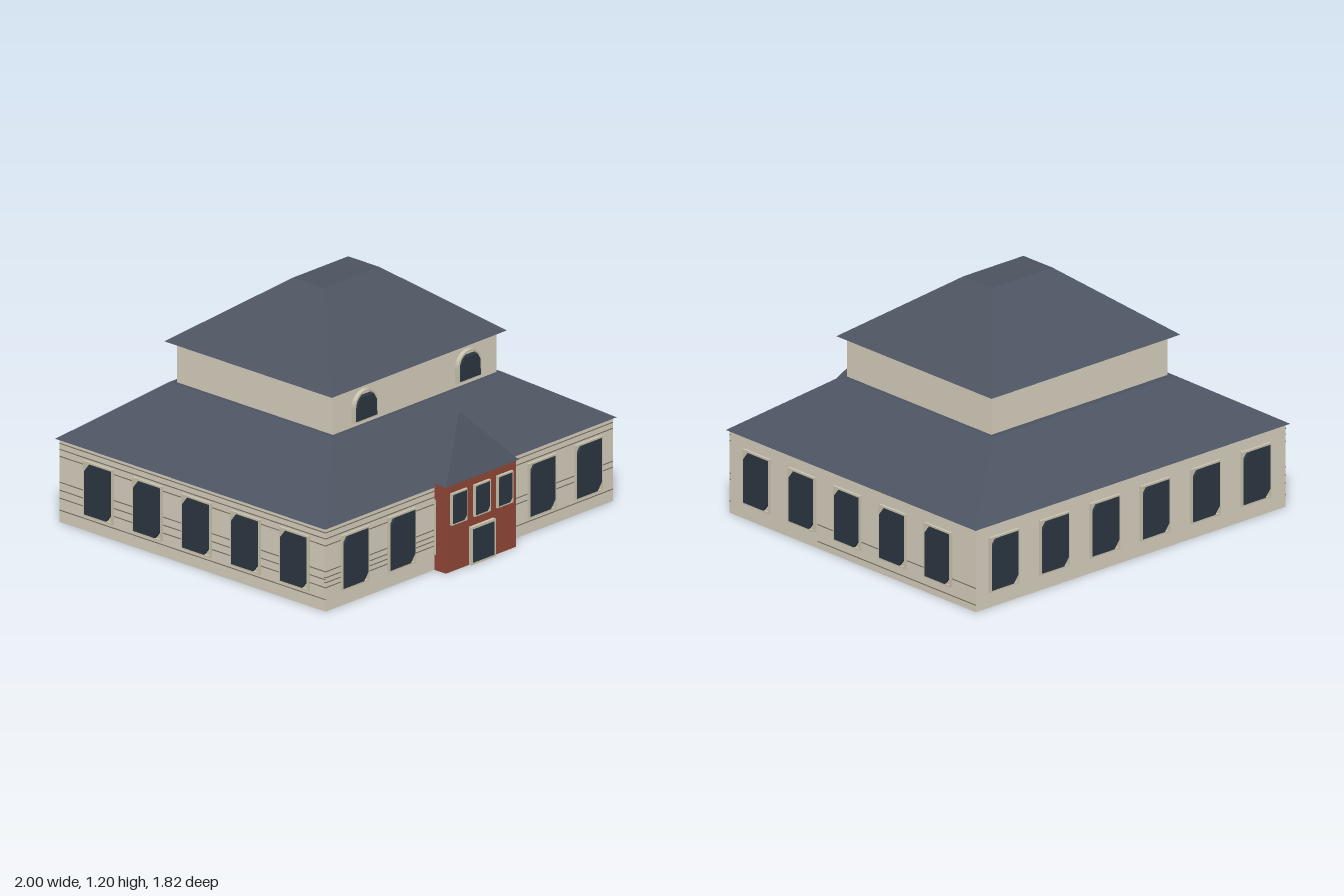
import * as THREE from 'three';

const paint = (color) => new THREE.MeshStandardMaterial({ color, flatShading: true });
const MAT = {
  wall: paint(0xd9d2c0), roof: paint(0x4c5461), brick: paint(0x934837),
  glass: paint(0x2c3842), frame: paint(0xcdc5b0), groove: paint(0x7d7566),
};

function add(parent, name, geometry, material, x = 0, y = 0, z = 0) {
  const mesh = new THREE.Mesh(geometry, material);
  mesh.name = name;
  mesh.position.set(x, y, z);
  parent.add(mesh);
  return mesh;
}

// Box given by its limits on each axis
function block(parent, name, material, [x0, x1], [y0, y1], [z0, z1]) {
  return add(parent, name, new THREE.BoxGeometry(x1 - x0, y1 - y0, z1 - z0), material,
    (x0 + x1) / 2, (y0 + y1) / 2, (z0 + z1) / 2);
}

// Hipped roof: a box whose top corners are pulled in to the given rectangle
function hipRoof(parent, name, [y0, y1], base, top) {
  const geo = new THREE.BoxGeometry(1, 1, 1);
  const p = geo.attributes.position;
  for (let i = 0; i < p.count; i++) {
    const up = p.getY(i) > 0;
    const r = up ? top : base;
    p.setXYZ(i, p.getX(i) > 0 ? r.x : -r.x, up ? y1 : y0, p.getZ(i) > 0 ? r.z1 : r.z0);
  }
  geo.computeVertexNormals();
  return add(parent, name, geo, MAT.roof);
}

const polygon = (points) => new THREE.Shape(points.map(([x, y]) => new THREE.Vector2(x, y)));
const plate = (shape, depth) =>
  new THREE.ExtrudeGeometry(shape, { depth, bevelEnabled: false, curveSegments: 10 });

const rect = (w, h) => [[-w / 2, 0], [w / 2, 0], [w / 2, h], [-w / 2, h]];

// Flat frame with a hole, and a pane with two clipped corners, facing +z
function makeWindow(name, w, h, border, clip, depth) {
  const group = new THREE.Group();
  group.name = name;
  const frame = polygon(rect(w, h));
  const iw = w - border * 2;
  const ih = h - border * 2;
  frame.holes.push(polygon(rect(iw, ih).map(([x, y]) => [x, y + border])));
  add(group, 'windowFrame', plate(frame, depth * 0.8), MAT.frame);
  add(group, 'windowBacking', new THREE.PlaneGeometry(iw, ih), MAT.frame, 0, h / 2, 0.003);
  const a = iw / 2;
  const pane = polygon([[-a, 0], [a - clip, 0], [a, clip * 1.3], [a, ih],
    [-a + clip, ih], [-a, ih - clip * 1.3]]);
  add(group, 'windowPane', plate(pane, depth), MAT.glass, 0, border, 0);
  return group;
}

// Round-headed upper window with a straight-sided pane
function makeArchWindow() {
  const group = new THREE.Group();
  group.name = 'archedWindow';
  const arch = (r, y0, spring) => {
    const s = new THREE.Shape();
    s.moveTo(-r, y0);
    s.lineTo(r, y0);
    s.lineTo(r, spring);
    s.absarc(0, spring, r, 0, Math.PI, false);
    s.closePath();
    return s;
  };
  const outer = arch(0.08, 0, 0.072);
  outer.holes.push(arch(0.07, 0.008, 0.072));
  add(group, 'archFrame', plate(outer, 0.022), MAT.frame);
  const pane = polygon([[-0.07, 0.008], [0.07, 0.008], [0.066, 0.09], [0.045, 0.122],
    [-0.045, 0.122], [-0.062, 0.09]]);
  add(group, 'archPane', plate(pane, 0.027), MAT.glass);
  return group;
}

export function createModel() {
  const model = new THREE.Group();
  model.name = 'building';
  const W = 0.985, ZF = 0.81, ZB = -0.895;

  // Main storeys and hipped roofs
  block(model, 'groundFloor', MAT.wall, [-W, W], [0, 0.42], [ZB, ZF]);
  hipRoof(model, 'lowerRoof', [0.418, 0.675],
    { x: 1, z0: -0.91, z1: 0.82 }, { x: 0.58, z0: -0.57, z1: 0.48 });
  block(model, 'upperFloor', MAT.wall, [-0.56, 0.56], [0.67, 0.885], [-0.54, 0.46]);
  hipRoof(model, 'upperRoof', [0.88, 1.2],
    { x: 0.6, z0: -0.585, z1: 0.49 }, { x: 0.19, z0: -0.145, z1: 0.055 });

  // Fine horizontal wall joints
  const t = 0.0025;
  const lines = (name, heights, xs, zs) => heights.forEach((y) =>
    block(model, name, MAT.groove, xs, [y - t, y + t], zs));
  lines('frontJoint', [0.365, 0.395], [-W, W], [ZF - 0.01, ZF + 0.001]);
  lines('frontLeftJoint', [0.06, 0.17, 0.2], [0.24, W], [ZF - 0.01, ZF + 0.001]);
  lines('frontRightJoint', [0.12, 0.145, 0.17, 0.2, 0.33], [-W, -0.24], [ZF - 0.01, ZF + 0.001]);
  lines('leftJoint', [0.035, 0.12], [W - 0.01, W + 0.001], [ZB, 0.2]);
  lines('rightJoint', [0.06, 0.12, 0.16, 0.2, 0.33, 0.365, 0.395],
    [-W - 0.001, -W + 0.01], [ZB, ZF]);

  // Ground-floor windows: six front and back, five on each side
  const place = (x, z, turn) => {
    const win = makeWindow('tallWindow', 0.186, 0.276, 0.009, 0.03, 0.015);
    win.position.set(x, 0.078, z);
    win.rotation.y = turn;
    model.add(win);
  };
  for (let i = 0; i < 6; i++) {
    const x = -0.79 + i * 0.32;
    place(x, ZF, 0);
    place(x, ZB, Math.PI);
  }
  for (let i = 0; i < 5; i++) {
    const z = 0.616 - i * 0.314;
    place(W, z, Math.PI / 2);
    place(-W, z, -Math.PI / 2);
  }

  // Arched windows above the front roof
  for (const x of [-0.355, 0.355]) {
    const win = makeArchWindow();
    win.position.set(x, 0.7, 0.46);
    model.add(win);
  }

  // Brick entrance porch with pointed roof
  const porch = new THREE.Group();
  porch.name = 'porch';
  model.add(porch);
  block(porch, 'porchWalls', MAT.brick, [-0.24, 0.24], [0, 0.44], [0.61, 0.885]);
  hipRoof(porch, 'porchRoof', [0.437, 0.71],
    { x: 0.25, z0: 0.595, z1: 0.895 }, { x: 0, z0: 0.745, z1: 0.745 });
  for (const x of [-0.158, 0, 0.155]) {
    const win = makeWindow('porchWindow', 0.108, 0.16, 0.008, 0.016, 0.015);
    win.position.set(x, 0.235, 0.885);
    porch.add(win);
  }

  // Entrance door
  const door = makeWindow('door', 0.168, 0.19, 0.012, 0.002, 0.02);
  door.position.set(0, 0.001, 0.885);
  porch.add(door);

  return model;
}
